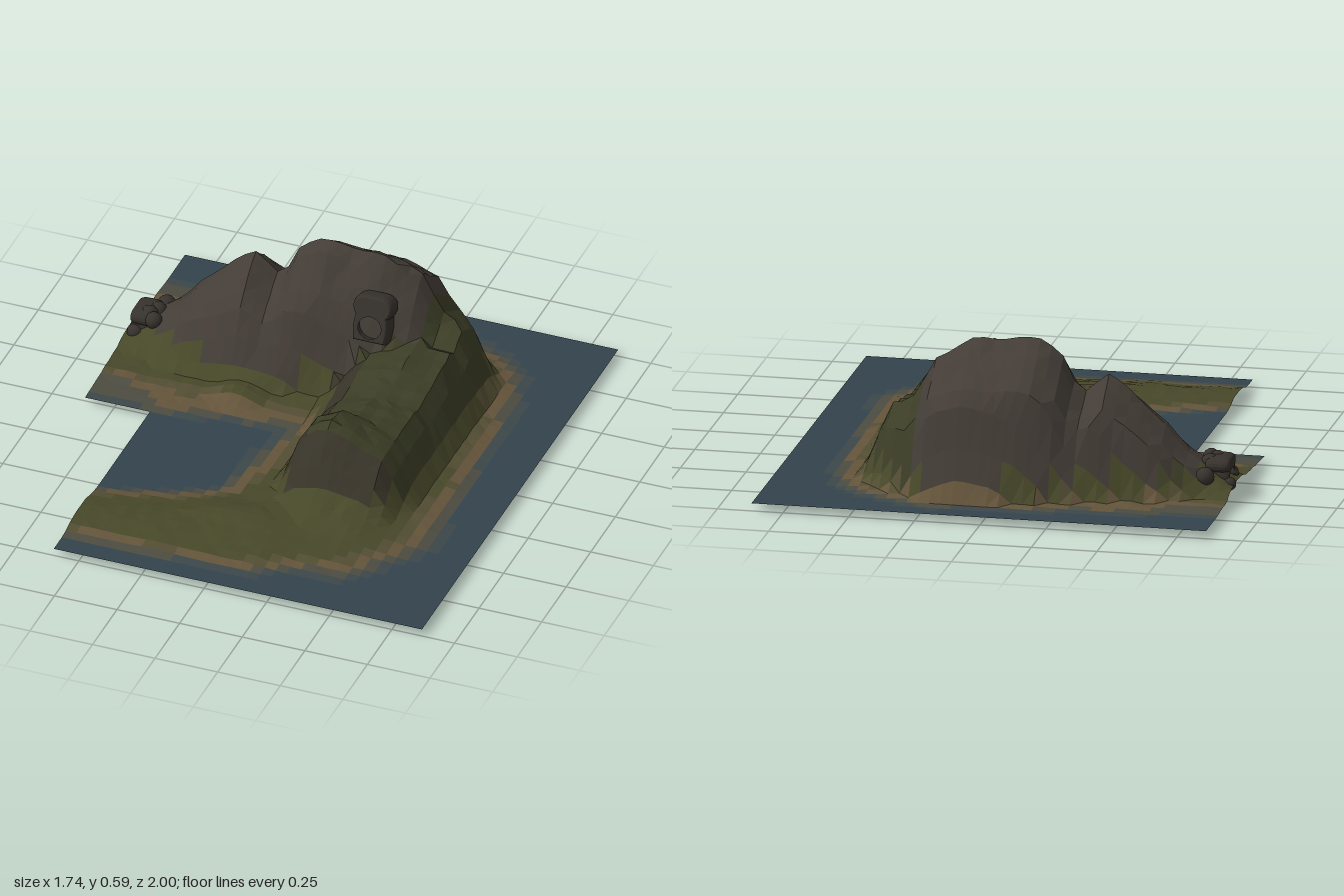
import * as THREE from 'three';
import { mergeGeometries } from 'three/addons/utils/BufferGeometryUtils.js';

const SEA = 0.03;

// Mountain sections along x: x, back foot z, crest z, front foot z, crest height
const MASSIF = [
  [-0.88, -0.6, -0.46, -0.32, 0.06], [-0.78, -0.61, -0.48, -0.28, 0.12],
  [-0.66, -0.65, -0.49, -0.26, 0.22], [-0.6, -0.68, -0.5, -0.25, 0.3],
  [-0.39, -0.73, -0.5, -0.24, 0.485], [-0.28, -0.77, -0.5, -0.24, 0.39],
  [-0.2, -0.8, -0.5, -0.25, 0.56], [-0.1, -0.83, -0.495, -0.27, 0.62],
  [0, -0.85, -0.5, -0.28, 0.59], [0.12, -0.86, -0.505, -0.3, 0.59], [0.26, -0.84, -0.54, -0.32, 0.52],
  [0.34, -0.8, -0.55, -0.3, 0.36], [0.45, -0.72, -0.5, -0.25, 0.31], [0.54, -0.62, -0.45, -0.25, 0.06],
];

// Green ridge sections along z: z, west foot x, crest x, east shoulder x, east foot x, crest height, shoulder height
const RIDGE = [
  [-0.4, -0.02, 0.3, 0.44, 0.55, 0.3, 0.29], [-0.25, -0.02, 0.3, 0.45, 0.55, 0.29, 0.27],
  [-0.07, 0.0, 0.27, 0.45, 0.55, 0.265, 0.24], [0.1, 0.02, 0.24, 0.455, 0.55, 0.285, 0.24],
  [0.17, 0.03, 0.22, 0.455, 0.55, 0.335, 0.25], [0.29, 0.03, 0.21, 0.45, 0.54, 0.355, 0.25],
  [0.36, 0.04, 0.22, 0.43, 0.53, 0.26, 0.21], [0.45, 0.06, 0.24, 0.42, 0.52, 0.12, 0.1],
  [0.58, 0.0, 0.2, 0.36, 0.48, 0.07, 0.06],
];

// Middle line of the low land: x, z, half width
const LAND = [
  [-1, -0.39, 0.35], [-0.5, -0.42, 0.39], [0, -0.49, 0.39], [0.25, -0.48, 0.38], [0.3, -0.2, 0.35],
  [0.3, 0.1, 0.36], [0.26, 0.4, 0.4], [0.08, 0.59, 0.28], [-0.25, 0.69, 0.2], [-0.7, 0.75, 0.16],
];

const lerp = THREE.MathUtils.lerp;
const clamp01 = (v) => THREE.MathUtils.clamp(v, 0, 1);

// Row of a section table at t, or null outside it
function section(table, t) {
  for (let i = 0; i + 1 < table.length; i++) {
    const a = table[i], b = table[i + 1];
    if (t >= a[0] && t <= b[0]) return a.map((v, k) => lerp(v, b[k], (t - a[0]) / (b[0] - a[0])));
  }
  return null;
}

function massifHeight(x, z) {
  const s = section(MASSIF, x);
  if (!s) return 0;
  const [, back, crest, front, h] = s, base = Math.min(h, 0.06);
  const p = section([[back, base], [lerp(back, crest, 0.2), lerp(base, h, 0.36)],
    [lerp(back, crest, 0.31), lerp(base, h, 0.66)], [crest, h],
    [lerp(crest, front, 0.6), lerp(base, h, 0.61)], [front, base]], z);
  return p ? p[1] : 0;
}

function ridgeHeight(x, z) {
  const s = section(RIDGE, z);
  if (!s) return 0;
  const [, wf, crest, es, ef, h, eh] = s;
  const p = section([[wf, 0.06], [lerp(wf, crest, 0.45), h * 0.8], [crest, h], [es, eh], [ef, 0.05]], x);
  return p ? p[1] : 0;
}

// Distance from the land's middle line as a share of its half width (1 = shore)
function shore(x, z) {
  let best = 9;
  for (let i = 0; i + 1 < LAND.length; i++) {
    const [ax, az, ar] = LAND[i], [bx, bz, br] = LAND[i + 1];
    const dx = bx - ax, dz = bz - az;
    const t = clamp01(((x - ax) * dx + (z - az) * dz) / (dx * dx + dz * dz));
    best = Math.min(best, Math.hypot(x - ax - dx * t, z - az - dz * t) / lerp(ar, br, t));
  }
  return best + 0.05 * Math.sin(x * 13 + z * 5) * Math.sin(z * 11 - x * 4);
}

const noise = (a, b) => { const s = Math.sin(a * 127.1 + b * 311.7) * 43758.5453; return s - Math.floor(s) - 0.5; };

// Small humps on the low ground
const hump = (x, z, cx, cz, rx, rz, h) => h * Math.max(0, 1 - Math.hypot((x - cx) / rx, (z - cz) / rz));

function height(x, z, i, j) {
  const d = shore(x, z);
  const rise = lerp(0.042, 0.024, clamp01(-x / 0.6)); // the spits flatten westward
  const low = SEA + rise * clamp01((1.1 - d) / 0.9)
    + hump(x, z, -0.33, -0.18, 0.13, 0.12, 0.05) + hump(x, z, -0.04, 0.58, 0.25, 0.1, 0.02);
  const y = Math.max(low, massifHeight(x, z), ridgeHeight(x, z));
  if (y < 0.036) return y;
  return y + noise(i, j) * (y > 0.09 ? 0.01 : 0.005) + noise(i >> 2, j >> 2) * (y > 0.09 ? 0.012 : 0.004);
}

const COLORS = {
  water: 0x33444c, shoal: 0x3c4749, shallows: 0x4b4b40, beach: 0x63533a, meadow: 0x524d32,
  grass: 0x474829, hillside: 0x3b3d26, earth: 0x383429, rock: 0x443d37,
};

function groundType(x, z, y) {
  const d = shore(x, z) + 0.2 * clamp01(-x / 0.7) * (y < 0.07 ? 1 : 0) * clamp01((1 - shore(x, z)) * 5);
  const m = massifHeight(x, z);
  if (m > 0.13 && x < 0.32 && m >= ridgeHeight(x, z)) return 'rock';
  if (y > 0.13) return z > 0.32 || (x < 0.12 && z > -0.3) ? 'earth' : 'hillside';
  if (y > 0.08) return 'grass';
  if (d > 1.15) return 'water';
  if (d > 1.06) return 'shoal';
  if (d > 0.99) return 'shallows';
  if (d > 0.89) return 'beach';
  return d > 0.79 ? 'meadow' : 'grass';
}

// Faceted ground sheet, split into one mesh per kind of ground
function terrain() {
  const group = new THREE.Group();
  group.name = 'terrain';
  const NX = 40, NZ = 49, faces = {};
  const point = (i, j) => {
    const x = -0.86 + (1.73 * i) / NX, z = -1 + (2 * j) / NZ;
    return [x, height(x, z, i, j), z];
  };
  for (let i = 0; i < NX; i++) {
    for (let j = 0; j < NZ; j++) {
      if (i < 6 && j >= 25) continue; // cut-out corner
      const a = point(i, j), b = point(i, j + 1), c = point(i + 1, j + 1), e = point(i + 1, j);
      const type = groundType((a[0] + c[0]) / 2, (a[2] + c[2]) / 2, (a[1] + b[1] + c[1] + e[1]) / 4);
      const list = (faces[type] ??= []);
      // fold each cell along its flatter diagonal
      if (Math.abs(a[1] - c[1]) < Math.abs(b[1] - e[1])) list.push(...a, ...b, ...c, ...a, ...c, ...e);
      else list.push(...a, ...b, ...e, ...b, ...c, ...e);
    }
  }
  for (const [type, list] of Object.entries(faces)) {
    const g = new THREE.BufferGeometry();
    g.setAttribute('position', new THREE.Float32BufferAttribute(list, 3));
    g.computeVertexNormals();
    const mat = new THREE.MeshStandardMaterial({ color: COLORS[type], flatShading: true, side: THREE.DoubleSide });
    const mesh = new THREE.Mesh(g, mat);
    mesh.name = type;
    group.add(mesh);
  }
  return group;
}

const caveMaterial = new THREE.MeshStandardMaterial({ color: 0x37322d, side: THREE.DoubleSide });

// Lumpy tunnel: uneven boulders strung along the path
function tunnel(name, path, radius) {
  const curve = new THREE.CatmullRomCurve3(path.map((p) => new THREE.Vector3(...p)));
  const count = Math.round(curve.getLength() / (radius * 0.85));
  const parts = curve.getSpacedPoints(count).map((p, i) => {
    const r = radius * (0.95 + noise(i, 3) * 0.35);
    return new THREE.SphereGeometry(r, 12, 8)
      .translate(p.x + noise(i, 5) * 0.018, p.y + noise(i, 7) * 0.012, p.z + noise(i, 9) * 0.018);
  });
  const mesh = new THREE.Mesh(mergeGeometries(parts), caveMaterial);
  mesh.name = name;
  return mesh;
}

// Mushroom-shaped arch of rock around a cave opening, facing +z before it is turned
function caveMouth(name, w, h, depth) {
  const arch = new THREE.Shape();
  arch.moveTo(-w * 0.8, 0).quadraticCurveTo(-w * 0.95, h * 0.3, -w * 0.78, h * 0.58);
  arch.bezierCurveTo(-w * 1.15, h * 0.75, -w, h, -w * 0.45, h).lineTo(w * 0.45, h);
  arch.bezierCurveTo(w, h, w * 1.15, h * 0.75, w * 0.78, h * 0.58);
  arch.quadraticCurveTo(w * 0.95, h * 0.3, w * 0.8, 0);
  const hole = new THREE.Path();
  hole.absellipse(0, h * 0.3, w * 0.68, h * 0.27, 0, Math.PI * 2, true);
  arch.holes.push(hole);
  const g = new THREE.ExtrudeGeometry(arch, {
    depth, bevelEnabled: true, bevelSize: 0.012, bevelThickness: 0.03, bevelSegments: 5, curveSegments: 8,
  });
  const mesh = new THREE.Mesh(g, caveMaterial);
  mesh.name = name;
  return mesh;
}

export function createModel() {
  const model = new THREE.Group();
  model.name = 'island';
  model.add(terrain());

  // Tunnels under the hills
  model.add(tunnel('lowerTunnel', [[0.29, 0.046, 0.28], [0.25, 0.06, 0.19], [0.21, 0.09, 0.03], [0.17, 0.12, -0.28],
    [0.05, 0.14, -0.47], [-0.09, 0.15, -0.54], [-0.33, 0.1, -0.52], [-0.56, 0.09, -0.54], [-0.78, 0.1, -0.45]], 0.043));
  model.add(tunnel('upperTunnel', [[0.28, 0.046, 0.23], [0.35, 0.11, 0.1], [0.38, 0.16, -0.06],
    [0.3, 0.21, -0.27], [0.24, 0.27, -0.42], [0.15, 0.36, -0.44]], 0.04));

  // Cave openings on the front cliff and at the low western end
  const upper = caveMouth('upperCaveMouth', 0.068, 0.16, 0.03);
  upper.position.set(0.14, 0.305, -0.37);
  upper.rotation.x = -0.3;
  const west = caveMouth('westCaveMouth', 0.06, 0.085, 0.03);
  west.position.set(-0.78, 0.07, -0.45);
  west.rotation.y = -Math.PI / 2;
  model.add(upper, west);

  // Boulders around the western cave
  const boulders = [[-0.78, 0.14, -0.43, 0.036], [-0.76, 0.14, -0.47, 0.034], [-0.82, 0.08, -0.39, 0.032],
    [-0.84, 0.07, -0.5, 0.026], [-0.76, 0.11, -0.56, 0.036], [-0.75, 0.14, -0.4, 0.033]];
  for (const [x, y, z, r] of boulders) {
    const rock = new THREE.Mesh(new THREE.SphereGeometry(r, 12, 8), caveMaterial);
    rock.position.set(x, y, z);
    rock.name = 'boulder';
    model.add(rock);
  }
  return model;
}
